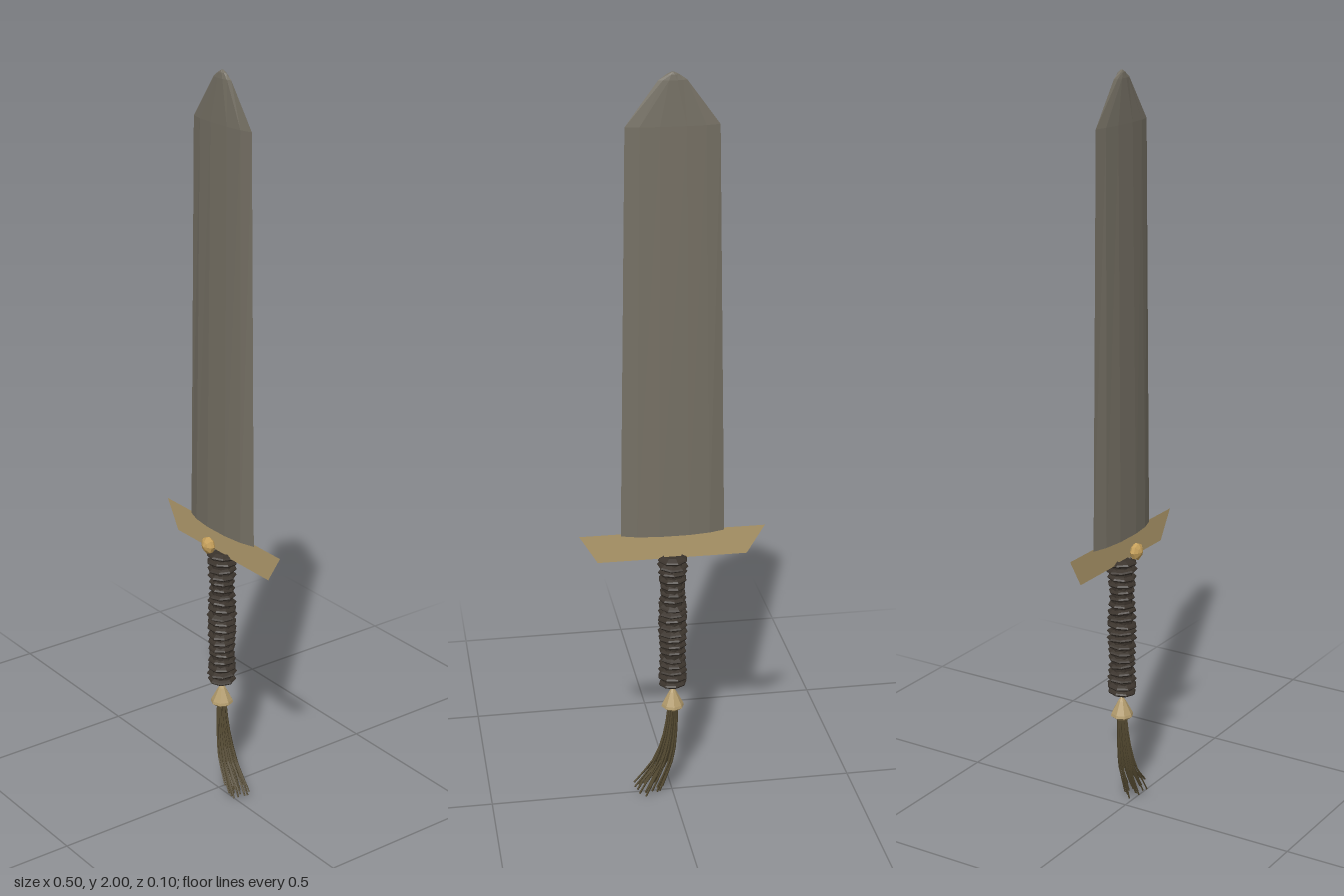
import * as THREE from 'three';

const Z = -0.011; // depth of the sword's central plane

const mat = (name, color, extra = {}) => {
  const m = new THREE.MeshStandardMaterial({ color, flatShading: true, ...extra });
  m.name = name;
  return m;
};

// Joins rings of equal point count (clockwise from above) into a closed skin
function loft(rings) {
  const n = rings[0].length, pos = rings.flat(2), idx = [];
  for (let r = 0; r < rings.length - 1; r++) {
    for (let i = 0; i < n; i++) {
      const a = r * n + i, b = r * n + (i + 1) % n;
      idx.push(a, a + n, b, b, a + n, b + n);
    }
  }
  const last = (rings.length - 1) * n;
  for (let i = 1; i < n - 1; i++) {
    idx.push(0, i, i + 1, last, last + i + 1, last + i);
  }
  const g = new THREE.BufferGeometry();
  g.setAttribute('position', new THREE.Float32BufferAttribute(pos, 3));
  g.setIndex(idx);
  g.computeVertexNormals();
  return g;
}

const lathe = (pts, sides) =>
  new THREE.LatheGeometry(pts.map(([r, y]) => new THREE.Vector2(r, y)), sides);

export function createModel() {
  const steel = mat('dull steel', 0x757064);
  const brass = mat('aged brass', 0xb49d6e, { side: THREE.DoubleSide });
  const gold = mat('gold stud', 0xc8a25c);
  const leather = mat('dark leather', 0x3a332c);
  const cord = mat('tassel cord', 0x51472f);

  const model = new THREE.Group();
  model.name = 'sword';
  const add = (name, geometry, material, parent = model) => {
    const mesh = new THREE.Mesh(geometry, material);
    mesh.name = name;
    parent.add(mesh);
    return mesh;
  };

  let seed = 7;
  const rand = () => (seed = (seed * 16807) % 2147483647) / 2147483647;

  // Blade: lens-shaped section, tapering to a clipped point
  const section = [[1, 0], [0.7, 0.62], [0.28, 0.97], [-0.28, 0.97], [-0.7, 0.62],
    [-1, 0], [-0.7, -0.62], [-0.28, -0.97], [0.28, -0.97], [0.7, -0.62]];
  const levels = [[0.783, 0.138, 0.021], [1.868, 0.119, 0.012],
    [1.98, 0.036, 0.008], [1.994, 0.016, 0.006], [2.0, 0.003, 0.003]];
  add('blade', loft(levels.map(([y, w, t]) =>
    section.map(([x, z]) => [x * w, y, Z + z * t]))), steel);

  // Guard: a flat flared plate
  const plate = new THREE.Shape([[-0.2, 0.711], [0.2, 0.711], [0.248, 0.789], [-0.248, 0.789]]
    .map(([x, y]) => new THREE.Vector2(x, y)));
  add('guard', new THREE.ShapeGeometry(plate), brass).position.z = Z;

  // Stud in front of the guard
  const stud = add('guardStud', lathe([[0, 0], [0.018, 0], [0.023, 0.006],
    [0.023, 0.015], [0.013, 0.022], [0, 0.027]], 8), gold);
  stud.rotation.x = Math.PI / 2;
  stud.position.set(0, 0.75, 0.025);

  // Grip: a core wound with sharp, slightly tilted bands
  const grip = new THREE.Group();
  grip.name = 'grip';
  model.add(grip);
  const core = add('gripCore', new THREE.CylinderGeometry(0.029, 0.029, 0.38, 8), leather, grip);
  core.position.set(0, 0.525, Z);
  const band = lathe([[0.024, -0.01], [0.037, -0.004], [0.04, 0],
    [0.037, 0.004], [0.024, 0.01]], 8);
  const count = 20;
  for (let i = 0; i < count; i++) {
    const b = add('gripBand', band, leather, grip);
    const size = 0.96 + 0.06 * Math.cos(i / (count - 1) * Math.PI * 4) + (rand() - 0.5) * 0.1;
    b.position.set(0, 0.341 + i * 0.0194, Z);
    b.scale.set(size, 1, size);
    b.rotation.set((rand() - 0.5) * 0.24, rand() * 3, (rand() - 0.5) * 0.24);
  }

  // Tassel cap: a cone with a tucked-in base
  add('tasselCap', lathe([[0, 0.259], [0.018, 0.26], [0.031, 0.27],
    [0.029, 0.277], [0.01, 0.313], [0, 0.327]], 8), brass).position.z = Z;

  // Tassel: thin strands swept towards one side
  const tassel = new THREE.Group();
  tassel.name = 'tassel';
  model.add(tassel);
  const strands = 28;
  for (let i = 0; i < strands; i++) {
    const a = i * 2.4, r = Math.sqrt((i + 0.5) / strands);
    const u = Math.cos(a) * r, v = Math.sin(a) * r;
    const endY = 0.003 + 0.045 * ((i * 5) % strands) / strands;
    const path = new THREE.CatmullRomCurve3([
      [u * 0.013, 0.266, Z + v * 0.012],
      [0.007 + u * 0.018, 0.19, Z + v * 0.017],
      [0.026 + u * 0.028, 0.11, Z + v * 0.024],
      [0.07 + u * 0.043, endY, Z + v * 0.031],
    ].map(p => new THREE.Vector3(...p)));
    add('tasselStrand', new THREE.TubeGeometry(path, 6, 0.0028, 4), cord, tassel);
  }

  return model;
}
